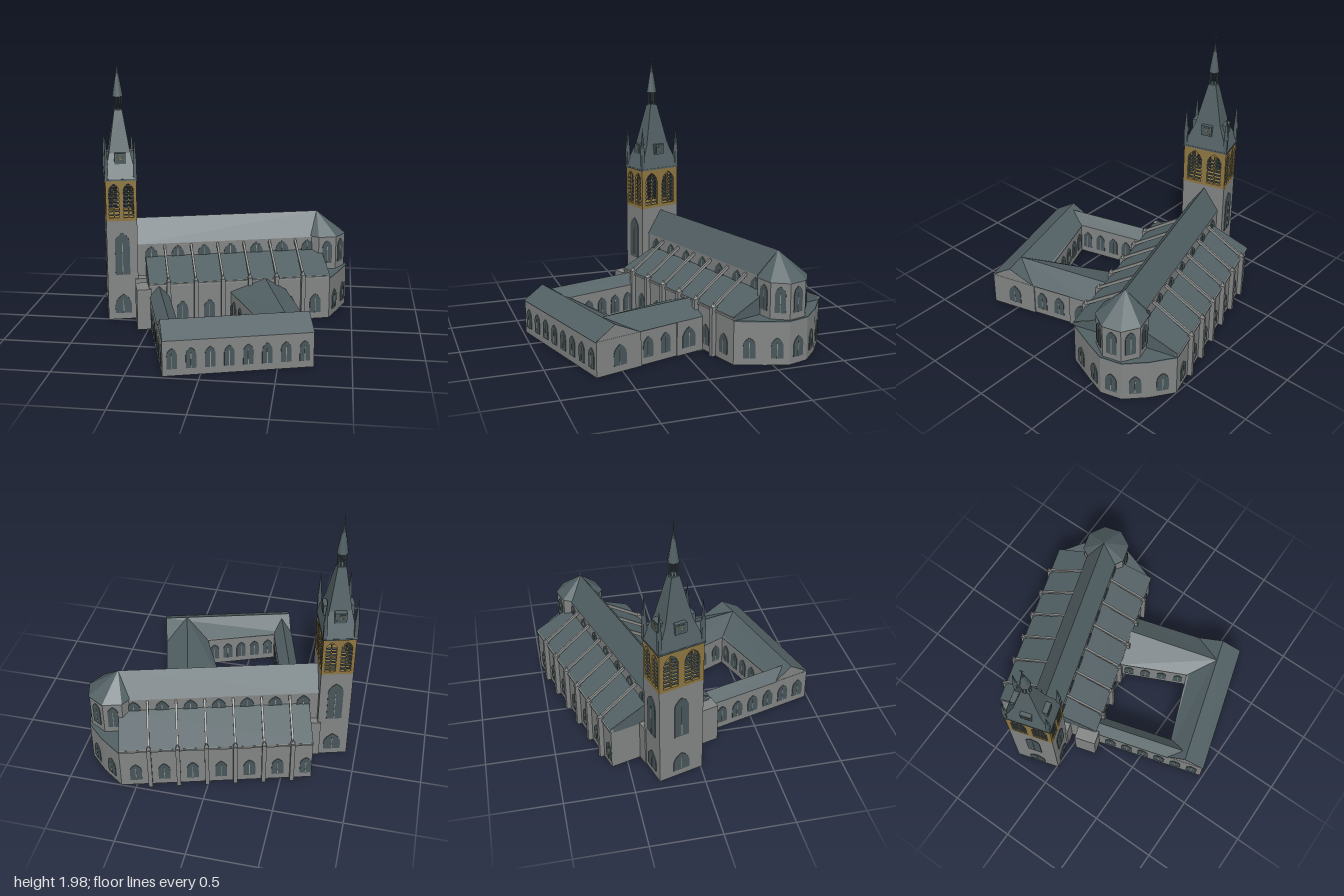
import * as THREE from 'three';

const mat = (name, color, side = THREE.FrontSide) => {
  const m = new THREE.MeshStandardMaterial({ color, side });
  m.name = name;
  return m;
};

export function createModel() {
  const stone = mat('stone', 0x828584);
  const slate = mat('slate', 0x526064, THREE.DoubleSide);
  const glass = mat('glass', 0x48565a);
  const gold = mat('goldenStone', 0x8d7642);
  const trim = mat('paleStone', 0x8c8f8d);

  const model = new THREE.Group();
  model.name = 'church';
  const root = new THREE.Group(); // local x runs along the nave
  root.name = 'churchAxis';
  root.rotation.y = 0.281;
  model.add(root);

  const add = (name, geo, material, x = 0, y = 0, z = 0, parent = root) => {
    const m = new THREE.Mesh(geo, material);
    m.name = name;
    m.position.set(x, y, z);
    parent.add(m);
    return m;
  };
  // box given by its ranges
  const block = (name, m, x0, x1, y0, y1, z0, z1) =>
    add(name, new THREE.BoxGeometry(x1 - x0, y1 - y0, z1 - z0), m, (x0 + x1) / 2, (y0 + y1) / 2, (z0 + z1) / 2);
  // upright prism over a plan of [x, z] points
  const prism = (name, m, plan, y0, y1) => {
    const s = new THREE.Shape(plan.map(([x, z]) => new THREE.Vector2(x, -z)));
    const g = new THREE.ExtrudeGeometry(s, { depth: y1 - y0, bevelEnabled: false });
    return add(name, g.rotateX(-Math.PI / 2), m, 0, y0, 0);
  };
  // flat polygons, each a list of [x, y, z] corners
  const faces = (name, m, polys) => {
    const p = [];
    for (const f of polys) for (let i = 1; i < f.length - 1; i++) p.push(...f[0], ...f[i], ...f[i + 1]);
    const g = new THREE.BufferGeometry();
    g.setAttribute('position', new THREE.Float32BufferAttribute(p, 3));
    g.computeVertexNormals();
    return add(name, g, m);
  };
  // square bar between two points
  const bar = (name, m, a, b, w, d) => {
    const va = new THREE.Vector3(...a), vb = new THREE.Vector3(...b);
    const mesh = add(name, new THREE.BoxGeometry(w, d, va.distanceTo(vb)), m);
    mesh.position.copy(va).lerp(vb, 0.5);
    mesh.rotation.x = -Math.atan2(b[1] - a[1], b[2] - a[2]);
    return mesh;
  };
  // pointed arch outline with its foot at (cx, y0)
  const arch = (shape, cx, y0, w, h) => {
    const r = w / 2, sp = y0 + h - w * 0.75;
    shape.moveTo(cx - r, y0);
    shape.lineTo(cx + r, y0);
    shape.lineTo(cx + r, sp);
    shape.quadraticCurveTo(cx + r, sp + w * 0.45, cx, y0 + h);
    shape.quadraticCurveTo(cx - r, sp + w * 0.45, cx - r, sp);
    shape.lineTo(cx - r, y0);
    return shape;
  };
  // evenly spaced windows on a wall; outside is on the right when walking a to b
  const windows = (name, a, b, n, y0, w, h, mullion = true) => {
    const dx = b[0] - a[0], dz = b[1] - a[1];
    const geo = new THREE.ExtrudeGeometry(arch(new THREE.Shape(), 0, 0, w, h), { depth: 0.005, bevelEnabled: false, curveSegments: 5 });
    for (let i = 0; i < n; i++) {
      const t = (i + 0.5) / n;
      const g = new THREE.Group();
      g.name = name;
      g.position.set(a[0] + dx * t, y0, a[1] + dz * t);
      g.rotation.y = Math.atan2(-dz, dx);
      root.add(g);
      add(name + 'Pane', geo, glass, 0, 0, 0, g);
      if (mullion) add(name + 'Mullion', new THREE.BoxGeometry(0.005, h * 0.75, 0.009), trim, 0, h * 0.375, 0.003, g);
    }
  };

  // ---- Nave, aisles and choir ----
  const C = -0.398, W = -0.515, E = 0.862;
  const hall = [[W, -0.79], [E, -0.79], [0.988, C - 0.238], [1.08, C - 0.08], [1.08, C + 0.08], [0.988, C + 0.218], [E, -0.006], [W, -0.006]];
  prism('aisleAndAmbulatoryWalls', stone, hall, 0, 0.31);
  prism('ambulatoryRoof', slate, hall.slice(1, 7), 0.31, 0.318);
  block('naveWalls', stone, -0.58, 0.86, 0.3, 0.575, C - 0.116, C + 0.116);
  block('naveWestWall', stone, -0.6, W, 0, 0.32, C - 0.17, C + 0.19);
  block('southWestPorch', stone, -0.607, -0.5, 0, 0.31, -0.143, 0.023);
  faces('naveRoof', slate, [1, -1].map(s => [
    [-0.58, 0.57, C + s * 0.121], [0.85, 0.57, C + s * 0.121], [0.85, 0.75, C], [-0.58, 0.75, C]]));
  faces('naveWestGable', slate, [[[-0.578, 0.57, C + 0.118], [-0.578, 0.75, C], [-0.578, 0.57, C - 0.118]]]);

  // apse on an octagon
  const oct = R => [...Array(8)].map((_, i) => {
    const a = (i + 0.5) * Math.PI / 4;
    return [0.9 + R * Math.cos(a), C - R * Math.sin(a)];
  });
  const apse = oct(0.178), eave = oct(0.184);
  prism('apseWalls', stone, apse, 0.3, 0.578);
  faces('apseRoof', slate, eave.map(([x, z], i) => {
    const [x2, z2] = eave[(i + 1) % 8];
    return [[x, 0.577, z], [x2, 0.577, z2], [0.85, 0.75, C]];
  }));
  for (const i of [0, 1, 5, 6, 7]) windows('apseWindow', apse[i], apse[(i + 1) % 8], 1, 0.365, 0.075, 0.185);
  for (let i = 1; i < 6; i++) windows('ambulatoryWindow', hall[i + 1], hall[i], 1, 0.05, 0.085, 0.15);

  // both aisles with flying buttresses
  for (const s of [1, -1]) {
    const out = C + s * 0.392, inn = C + s * 0.116;
    block('aisleUpperWall', stone, W, E, 0.31, 0.34, Math.min(out, out - s * 0.02), Math.max(out, out - s * 0.02));
    faces('aisleRoof', slate, [
      [[W, 0.345, out + s * 0.006], [E, 0.345, out + s * 0.006], [E, 0.47, inn], [W, 0.47, inn]],
      ...[W, E].map(x => [[x, 0.31, out], [x, 0.345, out], [x, 0.47, inn], [x, 0.31, inn]])]);
    block('aisleCornice', trim, W, E, 0.325, 0.338, out - 0.01, out + 0.01);
    for (let i = 0; i < 6; i++) {
      const x = -0.369 + i * 0.204, z = out + s * 0.012;
      block('buttressPier', stone, x - 0.015, x + 0.015, 0, 0.36, z - 0.022, z + 0.022);
      add('buttressCap', new THREE.ConeGeometry(0.02, 0.035, 4).rotateY(Math.PI / 4), trim, x, 0.377, z);
      bar('flyingButtress', trim, [x, 0.36, z], [x, 0.55, inn], 0.016, 0.022);
    }
    for (let i = 0; i < 7; i++) {
      const x = -0.471 + i * 0.204;
      const h = i === 0 ? 0.04 : 0.05;
      const at = z => s > 0 ? [[x - h, z], [x + h, z]] : [[x + h, z], [x - h, z]];
      windows('clerestoryWindow', ...at(inn), 1, 0.455, 0.1, 0.095);
      windows('aisleWindow', ...at(out), 1, 0.05, 0.085, 0.15);
    }
  }

  // ---- Cloister around a courtyard ----
  const H = 0.25, T = 0.345, w0 = -0.508, e0 = 0.52;
  const yard = [[-0.37, 0], [-0.37, 0.582], [0.185, 0.53], [0.1, 0]];
  prism('westWingWalls', stone, [[w0, -0.02], [w0, 0.6], [-0.37, 0.6], [-0.37, -0.02]], 0, H);
  prism('southWingWalls', stone, [[w0, 0.582], [w0, 0.873], [e0, 0.873], [e0, 0.52], [0.185, 0.53], [-0.37, 0.582]], 0, H);
  prism('eastWingWalls', stone, [[0.1, -0.02], [0.185, 0.54], [e0 - 0.01, 0.54], [e0 - 0.01, -0.02]], 0, H);
  block('eastWingAnnex', stone, 0.44, e0, 0, H, 0, 0.22);
  faces('southWingRoof', slate, [
    [[w0, H, 0.88], [e0, H, 0.88], [e0, T, 0.725], [w0, T, 0.725]],
    [[w0, H, 0.582], [-0.37, H, 0.578], [0.185, H, 0.526], [e0, H, 0.526], [e0, T, 0.725], [w0, T, 0.725]]]);
  faces('eastWingRoof', slate, [
    [[0.095, H, 0], [0.182, H, 0.53], [0.347, T, 0.725], [0.36, T, 0]],
    [[e0, H, 0], [e0, H, 0.53], [0.347, T, 0.725], [0.36, T, 0]]]);
  faces('westWingRoof', slate, [w0 - 0.005, -0.366].map(x =>
    [[x, H, 0], [x, H, 0.59], [-0.44, 0.325, 0.69], [-0.44, 0.325, 0]]));
  const gable = prism('southWingGables', stone, [[0, 0], [1, 0], [1, 1]], 0, 1);
  root.remove(gable);
  faces('eastGable', stone, [[[e0 - 0.002, H, 0.873], [e0 - 0.002, H, 0.526], [e0 - 0.002, T, 0.725]]]);
  faces('westGable', stone, [[[w0 + 0.002, H, 0.582], [w0 + 0.002, H, 0.873], [w0 + 0.002, T, 0.725]]]);
  windows('southWingWindow', [w0, 0.873], [e0, 0.873], 8, 0.05, 0.07, 0.145);
  windows('westWingWindow', [w0, 0.05], [w0, 0.86], 6, 0.05, 0.085, 0.145);
  windows('southWingEndWindow', [e0, 0.82], [e0, 0.56], 1, 0.05, 0.1, 0.15);
  windows('eastWingWindow', [e0 - 0.01, 0.53], [e0 - 0.01, 0.24], 2, 0.05, 0.08, 0.15);
  windows('annexWindow', [e0, 0.2], [e0, 0.04], 1, 0.05, 0.11, 0.15);
  windows('courtyardWestWindow', yard[1], yard[0], 5, 0.05, 0.075, 0.145);
  windows('courtyardSouthWindow', yard[2], yard[1], 5, 0.05, 0.075, 0.145);
  windows('courtyardEastWindow', [0.103, 0], yard[2], 4, 0.05, 0.075, 0.145);

  // ---- Tower ----
  const tx = -0.693, tz = -0.39, hx = 0.115, hz = 0.169;
  block('towerShaft', stone, tx - hx, tx + hx, 0, 0.775, tz - hz, tz + hz);
  const corner = [[tx - hx, tz + hz], [tx + hx, tz + hz], [tx + hx, tz - hz], [tx - hx, tz - hz]];
  for (const i of [0, 2, 3]) {
    windows('towerTallWindow', corner[i], corner[(i + 1) % 4], 1, 0.355, 0.11, 0.33);
    windows('towerLowWindow', corner[i], corner[(i + 1) % 4], 1, 0.05, 0.125, 0.15);
  }
  block('belfryFloor', gold, tx - hx, tx + hx, 0.775, 0.785, tz - hz, tz + hz);
  block('towerCornice', slate, tx - 0.122, tx + 0.122, 1.085, 1.097, tz - 0.177, tz + 0.177);

  // belfry walls with louvred openings, and a clock dormer above each
  for (let i = 0; i < 4; i++) {
    const side = new THREE.Group();
    side.name = 'belfrySide';
    side.position.set(tx, 0, tz);
    side.rotation.y = i * Math.PI / 2;
    root.add(side);
    const half = i % 2 ? hz : hx, dist = i % 2 ? hx : hz;
    const w = half * 0.66, c = half * 0.47;
    const wall = new THREE.Shape([[-half, 0.775], [half, 0.775], [half, 1.09], [-half, 1.09]].map(p => new THREE.Vector2(...p)));
    for (const k of [-1, 1]) wall.holes.push(arch(new THREE.Path(), k * c, 0.8, w, 0.26));
    add('belfryWall', new THREE.ExtrudeGeometry(wall, { depth: 0.02, bevelEnabled: false, curveSegments: 5 }), gold, 0, 0, dist - 0.02, side);
    for (const k of [-1, 1]) {
      for (let j = 0; j < 7; j++)
        add('louvre', new THREE.BoxGeometry(w, 0.009, 0.014), slate, k * c, 0.82 + j * 0.03, dist - 0.011, side);
      add('belfryMullion', new THREE.BoxGeometry(0.007, 0.24, 0.012), gold, k * c, 0.92, dist - 0.008, side);
    }
    const f = i % 2 ? 0.108 : 0.138;
    add('clockDormer', new THREE.BoxGeometry(0.084, 0.08, 0.08), slate, 0, 1.243, f - 0.04, side);
    add('clockFace', new THREE.BoxGeometry(0.06, 0.06, 0.004), glass, 0, 1.243, f + 0.001, side);
    add('clockHand', new THREE.BoxGeometry(0.005, 0.032, 0.004), gold, 0, 1.253, f + 0.004, side);
    add('clockHand', new THREE.BoxGeometry(0.02, 0.005, 0.004), gold, 0.009, 1.24, f + 0.004, side);
  }

  // steep tower roof from stacked rectangles
  const rings = [[1.095, 0.12, 0.175], [1.28, 0.079, 0.1], [1.59, 0.03, 0.03]].map(([y, a, b]) =>
    [[-a, b], [a, b], [a, -b], [-a, -b]].map(([x, z]) => [tx + x, y, tz + z]));
  const roof = [rings[2]];
  for (let r = 0; r < 2; r++) for (let i = 0; i < 4; i++) {
    const j = (i + 1) % 4;
    roof.push([rings[r][i], rings[r][j], rings[r + 1][j], rings[r + 1][i]]);
  }
  faces('towerRoof', slate, roof);

  // corner pinnacles and lantern posts
  for (const sx of [-1, 1]) for (const sz of [-1, 1]) {
    const x = tx + sx * 0.106, z = tz + sz * 0.16;
    block('pinnacleShaft', slate, x - 0.013, x + 0.013, 1.09, 1.21, z - 0.013, z + 0.013);
    add('pinnacleSpire', new THREE.ConeGeometry(0.02, 0.22, 4).rotateY(Math.PI / 4), slate, x, 1.32, z);
  }
  for (let i = 0; i < 8; i++) {
    const a = (i + 0.5) * Math.PI / 4;
    add('lanternPost', new THREE.CylinderGeometry(0.005, 0.005, 0.1, 6), slate, tx + 0.029 * Math.cos(a), 1.64, tz + 0.029 * Math.sin(a));
  }
  add('lanternBase', new THREE.CylinderGeometry(0.037, 0.037, 0.01, 8), slate, tx, 1.59, tz);
  add('spire', new THREE.ConeGeometry(0.04, 0.245, 8), slate, tx, 1.812, tz);
  block('crossPost', slate, tx - 0.002, tx + 0.002, 1.92, 1.975, tz - 0.002, tz + 0.002);
  block('crossArm', slate, tx - 0.002, tx + 0.002, 1.953, 1.957, tz - 0.013, tz + 0.013);
  return model;
}
